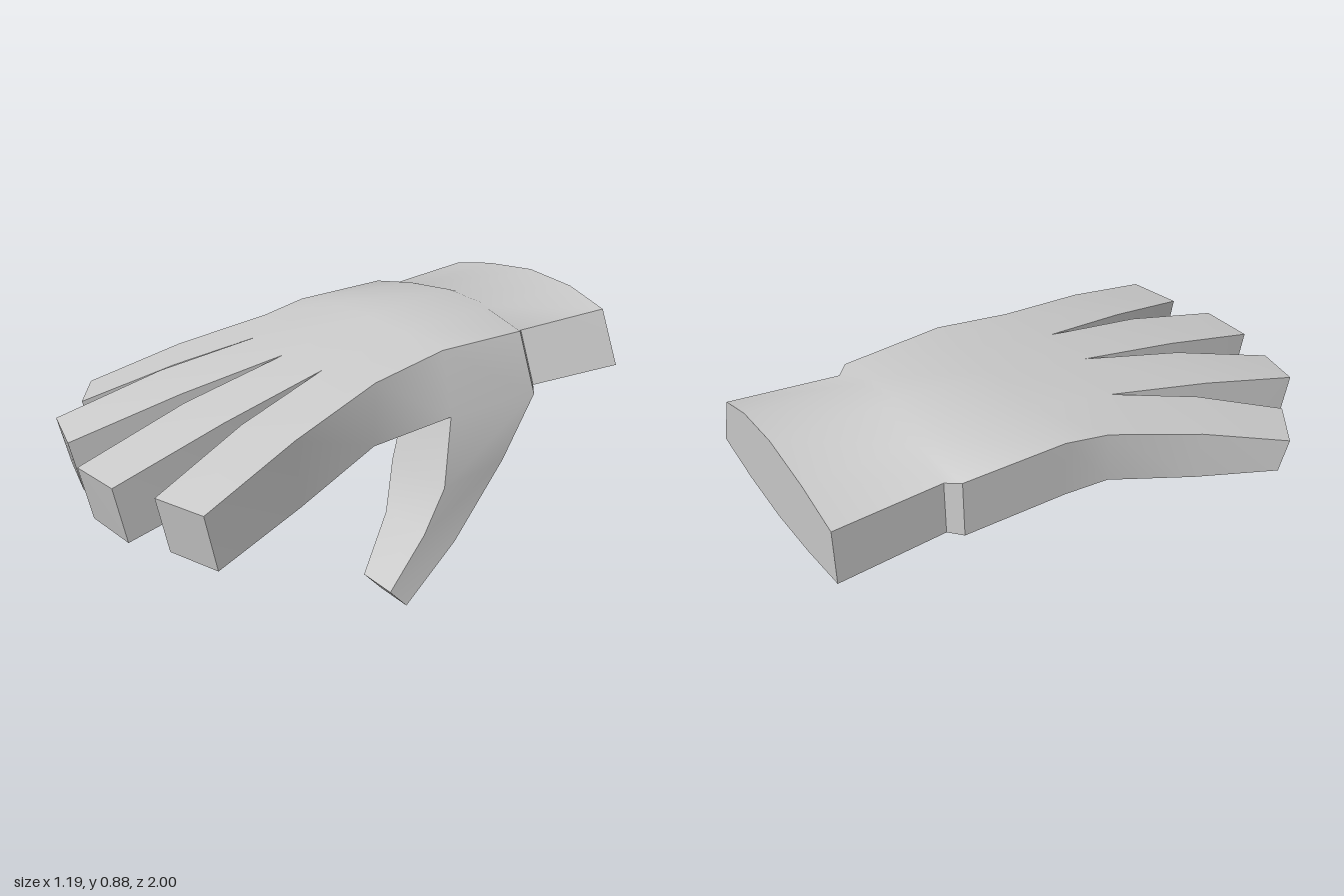
import * as THREE from 'three';
import { toCreasedNormals } from 'three/addons/utils/BufferGeometryUtils.js';

// Skin a row of closed rings (each a list of [x, y, z]) with optional end caps.
function loft(rings, capStart, capEnd) {
  const out = [];
  const tri = (a, b, c) => out.push(...a, ...b, ...c);
  const n = rings[0].length;
  for (let s = 0; s < rings.length - 1; s++) {
    const a = rings[s], b = rings[s + 1];
    for (let i = 0; i < n; i++) {
      const j = (i + 1) % n;
      tri(a[i], b[i], a[j]);
      tri(a[j], b[i], b[j]);
    }
  }
  const first = rings[0], last = rings[rings.length - 1];
  for (let i = 1; i < n - 1; i++) {
    if (capStart) tri(first[0], first[i], first[i + 1]);
    if (capEnd) tri(last[0], last[i + 1], last[i]);
  }
  return out;
}

// Ring across the hand: upper points left to right, then lower points back again.
function section(z, topX, topY, lowX, lowY) {
  const zs = Array.isArray(z) ? z : topX.map(() => z);
  const top = topX.map((x, i) => [x, topY[i], zs[i]]);
  const low = lowX.map((x, i) => [x, lowY[i], zs[i]]);
  return [...top, ...low.reverse()];
}

export function createModel() {
  const parts = [];

  // Cuff and palm stations, from the open wrist end to the knuckles
  const end = section(-1,
    [-0.42, -0.23, 0, 0.21, 0.38], [0.80, 0.845, 0.875, 0.862, 0.815],
    [-0.42, -0.2, 0.02, 0.25, 0.47], [0.605, 0.58, 0.57, 0.585, 0.62]);
  const wrist = section(-0.61,
    [-0.38, -0.2, 0, 0.19, 0.345], [0.79, 0.835, 0.86, 0.85, 0.805],
    [-0.38, -0.18, 0.02, 0.23, 0.425], [0.60, 0.58, 0.57, 0.585, 0.62]);
  const heel = section(-0.57,
    [-0.425, -0.22, 0, 0.2, 0.38], [0.80, 0.845, 0.875, 0.86, 0.82],
    [-0.425, -0.2, 0.02, 0.24, 0.47], [0.60, 0.585, 0.58, 0.585, 0.61]);
  const middle = section(-0.19,
    [-0.42, -0.23, 0, 0.205, 0.40], [0.80, 0.835, 0.85, 0.85, 0.84],
    [-0.42, -0.23, 0, 0.215, 0.455], [0.60, 0.58, 0.575, 0.58, 0.615]);
  const knuckleX = [-0.42, -0.23, 0, 0.205, 0.415];
  const knuckles = section([-0.02, 0.125, 0.18, 0.17, 0.11],
    knuckleX, [0.77, 0.775, 0.785, 0.79, 0.80],
    knuckleX, [0.59, 0.57, 0.57, 0.575, 0.575]);
  parts.push(['cuff', loft([end, wrist], true, false)]);
  parts.push(['palm', loft([wrist, heel, middle, knuckles], false, false)]);

  // Fingers: tip corners as [x, upper y, lower y, z] for each side
  const fingers = [
    ['littleFinger', [-0.595, 0.60, 0.49, 0.635], [-0.43, 0.605, 0.47, 0.75]],
    ['ringFinger', [-0.31, 0.625, 0.445, 0.90], [-0.125, 0.615, 0.43, 0.945]],
    ['middleFinger', [0.05, 0.612, 0.42, 0.995], [0.255, 0.62, 0.42, 0.98]],
    ['indexFinger', [0.40, 0.63, 0.435, 0.915], [0.595, 0.64, 0.445, 0.865]],
  ];
  fingers.forEach(([name, l, r], f) => {
    const root = [knuckles[f], knuckles[f + 1], knuckles[8 - f], knuckles[9 - f]];
    const tip = [
      [l[0], l[1], l[3]], [r[0], r[1], r[3]],
      [r[0], r[2], r[3] - 0.04], [l[0], l[2], l[3] - 0.04],
    ];
    // Slightly swollen ring halfway along
    const mid = root.map((p, i) => {
      const leftSide = i === 0 || i === 3;
      const outer = (f === 0 && leftSide) || (f === 3 && !leftSide);
      const bulge = outer ? 0 : leftSide ? -0.01 : 0.01;
      return [
        (p[0] + tip[i][0]) / 2 + bulge,
        (p[1] + tip[i][1]) / 2 + (i < 2 ? 0.015 : -0.008),
        (p[2] + tip[i][2]) / 2,
      ];
    });
    parts.push([name, loft([root, mid, tip], false, true)]);
  });

  // Thumb: front inner, front outer, back outer, back inner
  const thumb = [
    [[0.215, 0.60, -0.19], middle[5], heel[5], [0.22, 0.60, -0.57]],
    [[0.235, 0.39, -0.12], [0.515, 0.39, -0.12], [0.485, 0.40, -0.42], [0.205, 0.40, -0.42]],
    [[0.315, 0.24, -0.03], [0.522, 0.24, -0.03], [0.525, 0.17, -0.17], [0.31, 0.17, -0.17]],
    [[0.385, 0.072, 0.12], [0.53, 0.072, 0.12], [0.54, 0, 0.055], [0.40, 0, 0.055]],
  ];
  parts.push(['thumb', loft(thumb, false, true)]);

  // Shade the whole skin together so that joins stay smooth, then split by part
  const skin = new THREE.BufferGeometry();
  skin.setAttribute('position', new THREE.Float32BufferAttribute(parts.flatMap((p) => p[1]), 3));
  const shaded = toCreasedNormals(skin, 0.6);
  const material = new THREE.MeshStandardMaterial({ color: 0xcccccc });
  const glove = new THREE.Group();
  glove.name = 'glove';
  let start = 0;
  for (const [name, points] of parts) {
    const geometry = new THREE.BufferGeometry();
    for (const key of ['position', 'normal']) {
      const slice = shaded.getAttribute(key).array.slice(start, start + points.length);
      geometry.setAttribute(key, new THREE.BufferAttribute(slice, 3));
    }
    start += points.length;
    const mesh = new THREE.Mesh(geometry, material);
    mesh.name = name;
    glove.add(mesh);
  }
  return glove;
}
